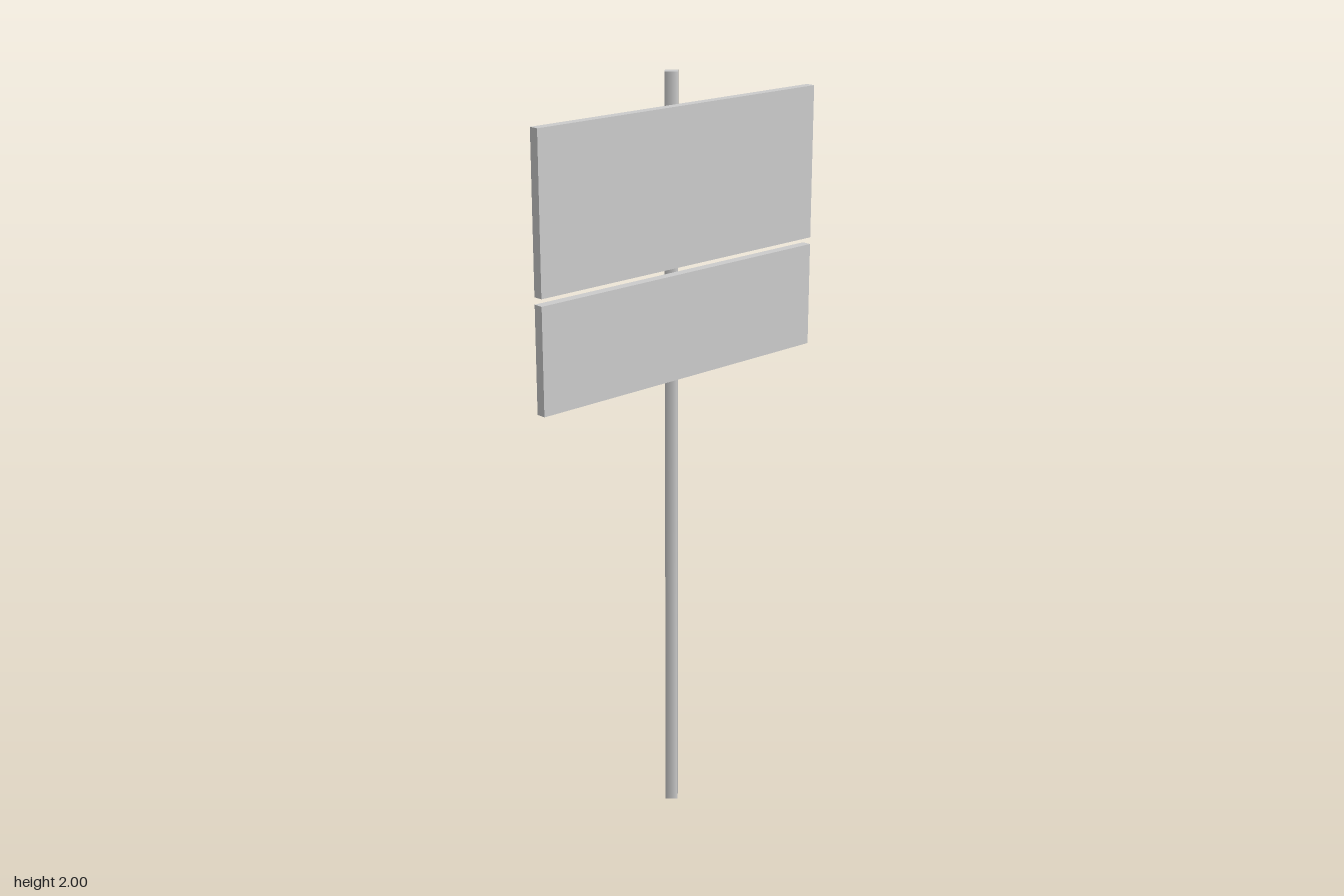
import * as THREE from 'three';

export function createModel() {
  const group = new THREE.Group();
  const material = new THREE.MeshStandardMaterial({ color: 0xcccccc });

  function add(name, geometry, x, y, z) {
    const mesh = new THREE.Mesh(geometry, material);
    mesh.name = name;
    mesh.position.set(x, y, z);
    group.add(mesh);
  }

  // Four-sided post with softened shading, one corner towards the front
  add('post', new THREE.CylinderGeometry(0.023, 0.023, 2, 4), 0, 1, -0.012);

  // Two flat boards fixed to the front of the post
  const boards = [
    ['upperBoard', 1.523, 1.922],
    ['lowerBoard', 1.232, 1.505],
  ];
  for (const [name, bottom, top] of boards) {
    add(name, new THREE.BoxGeometry(0.91, top - bottom, 0.026), 0, (bottom + top) / 2, 0.022);
  }

  return group;
}
